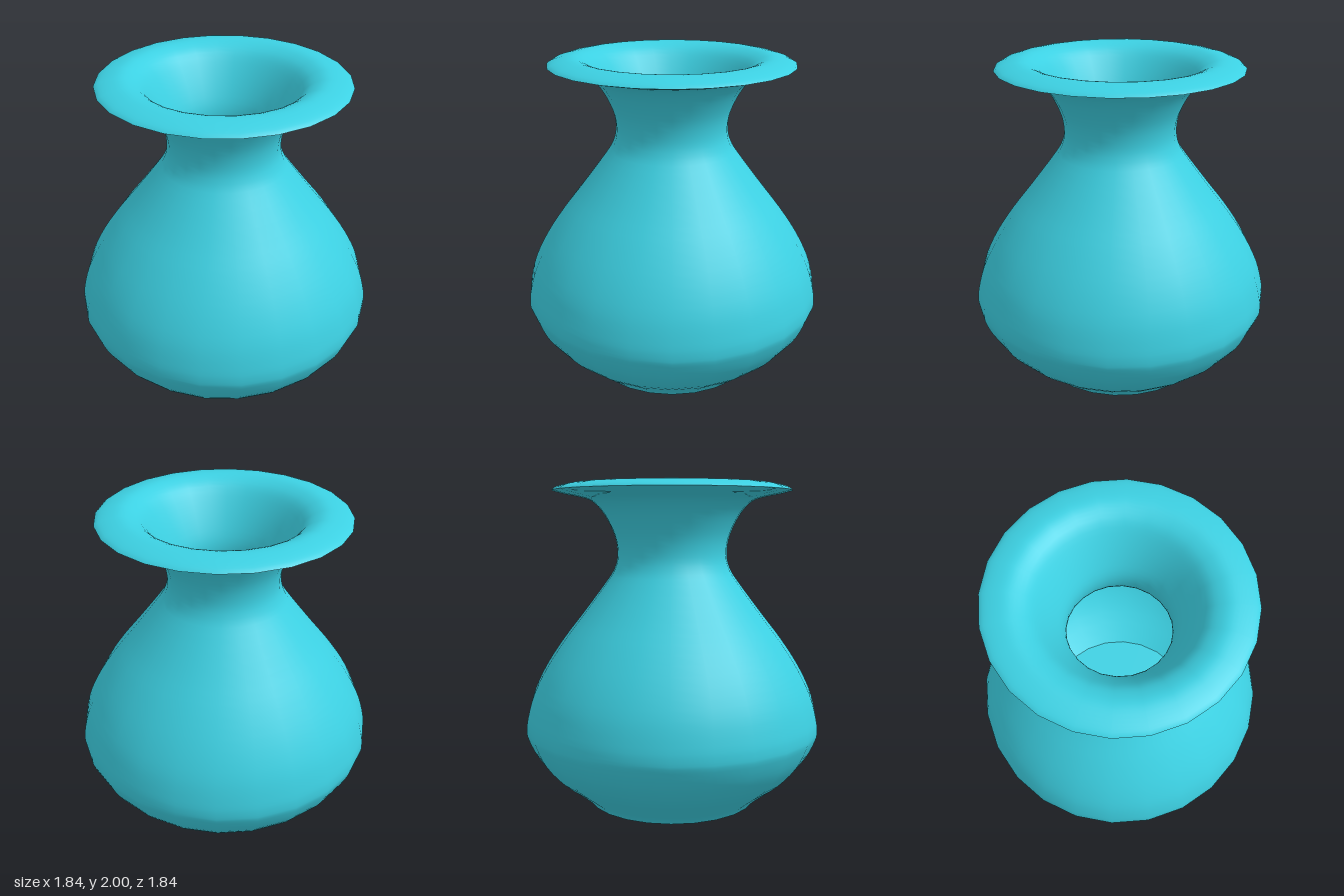
import * as THREE from 'three';

const SIDES = 24;

// Smooth curve through a few [radius, height] points
function profile(points, steps) {
  const curve = new THREE.SplineCurve(points.map(([r, y]) => new THREE.Vector2(r, y)));
  return curve.getPoints(steps);
}

function turned(name, points, material) {
  const mesh = new THREE.Mesh(new THREE.LatheGeometry(points, SIDES), material);
  mesh.name = name;
  return mesh;
}

export function createModel() {
  const vase = new THREE.Group();
  vase.name = 'vase';
  const glaze = new THREE.MeshStandardMaterial({ color: 0x3cd0e2 });
  glaze.name = 'turquoise glaze';

  // Outer wall, from the foot to the edge of the rim
  vase.add(turned('outerWall', profile([
    [0.53, 0.015], [0.575, 0.065], [0.74, 0.195], [0.85, 0.32], [0.91, 0.44],
    [0.92, 0.5], [0.91, 0.58], [0.87, 0.72], [0.79, 0.88], [0.68, 1.045],
    [0.56, 1.2], [0.41, 1.4], [0.36, 1.48], [0.34, 1.56], [0.35, 1.66],
    [0.39, 1.76], [0.44, 1.84], [0.5, 1.895], [0.58, 1.92], [0.66, 1.935], [0.738, 1.955],
  ], 60), glaze));

  // Rim top, throat and inner wall, down to the floor
  vase.add(turned('rimAndInnerWall', profile([
    [0.738, 1.955], [0.715, 1.972], [0.66, 1.99], [0.59, 2.0], [0.53, 1.985],
    [0.47, 1.945], [0.41, 1.86], [0.35, 1.75], [0.31, 1.65], [0.302, 1.56],
    [0.32, 1.47], [0.37, 1.38], [0.52, 1.18], [0.64, 1.03], [0.75, 0.87],
    [0.83, 0.72], [0.875, 0.58], [0.885, 0.5], [0.87, 0.43], [0.81, 0.33],
    [0.7, 0.21], [0.52, 0.07],
  ], 60), glaze));

  // Inside floor
  const floor = new THREE.Mesh(new THREE.CircleGeometry(0.52, SIDES), glaze);
  floor.name = 'floor';
  floor.rotation.x = -Math.PI / 2;
  floor.position.y = 0.07;
  vase.add(floor);

  // Slightly bowed underside
  vase.add(turned('underside', [
    new THREE.Vector2(0, 0), new THREE.Vector2(0.3, 0.002),
    new THREE.Vector2(0.5, 0.008), new THREE.Vector2(0.53, 0.015),
  ], glaze));

  return vase;
}
